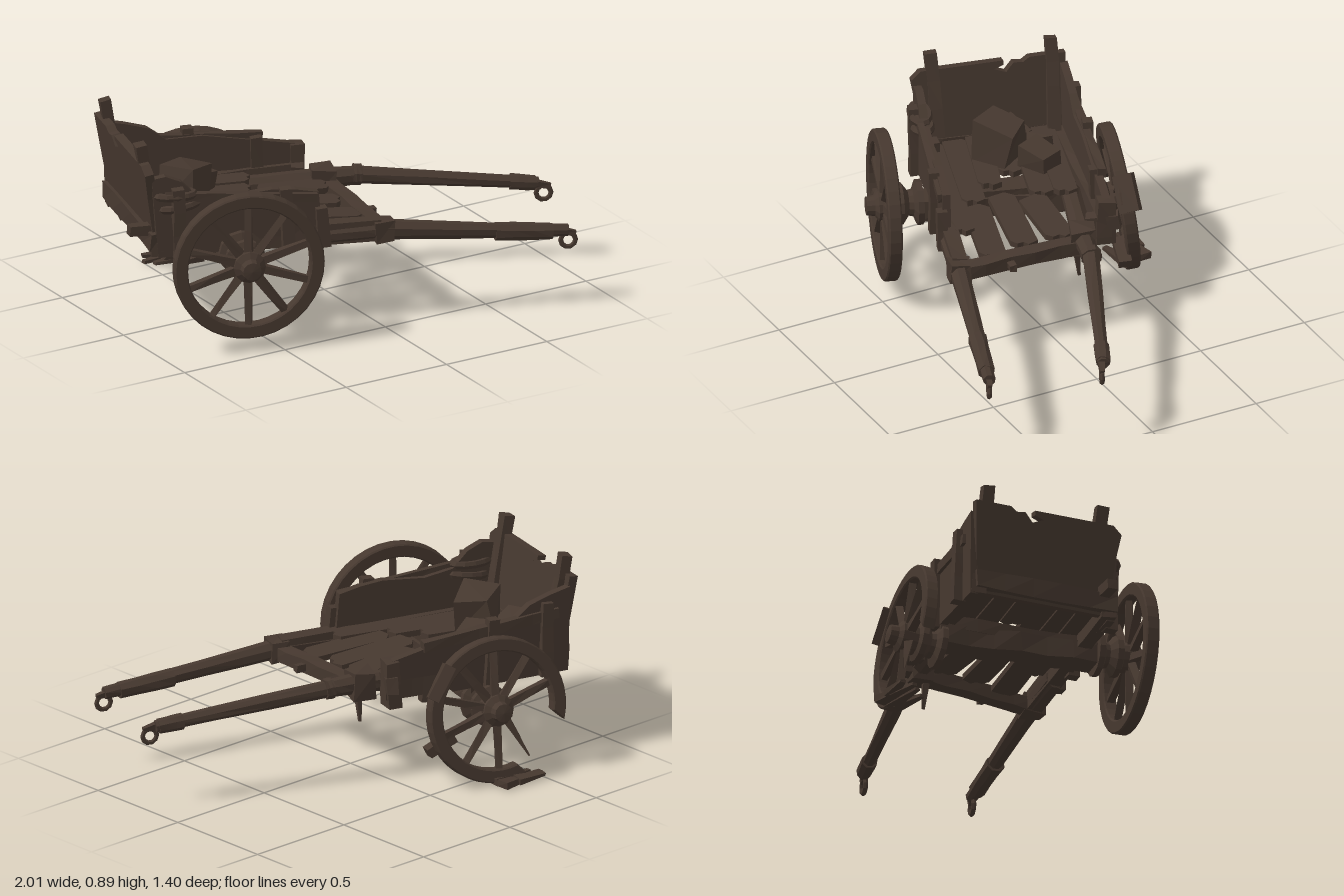
import * as THREE from 'three';

const V = (p) => new THREE.Vector3(...p);

export function createModel() {
  const root = new THREE.Group();
  root.name = 'brokenCart';
  const wood = new THREE.MeshStandardMaterial({ color: 0x46382f, flatShading: true, side: THREE.DoubleSide });
  wood.name = 'dark wood';

  const add = (name, geo, parent = root) => {
    const m = new THREE.Mesh(geo, wood);
    m.name = name;
    parent.add(m);
    return m;
  };

  // Worn edges: shift each vertex by a repeatable amount based on its position
  const wear = (geo, amount) => {
    const p = geo.attributes.position;
    const n = (x, y, z, k) => Math.sin(Math.round(x * 500) * 1.7 + Math.round(y * 500) * 2.9 + Math.round(z * 500) * 4.3 + k);
    for (let i = 0; i < p.count; i++) {
      const x = p.getX(i), y = p.getY(i), z = p.getZ(i);
      p.setXYZ(i, x + amount * n(x, y, z, 0), y + amount * n(x, y, z, 2), z + amount * n(x, y, z, 4));
    }
    geo.computeVertexNormals();
    return geo;
  };

  // Lay a geometry built along x between two points
  const lay = (geo, a, b) => {
    const A = V(a), B = V(b), x = B.clone().sub(A).normalize();
    const up = Math.abs(x.y) > 0.8 ? new THREE.Vector3(-0.95, 0, -0.32) : new THREE.Vector3(0, 1, 0);
    const z = new THREE.Vector3().crossVectors(x, up).normalize();
    const y = new THREE.Vector3().crossVectors(z, x);
    return geo.applyMatrix4(new THREE.Matrix4().makeBasis(x, y, z).setPosition(A.add(B).multiplyScalar(0.5)));
  };

  // Squared timber from a to b, w wide, h high, with end scale
  const beam = (name, a, b, w, h, end = 1, parent = root) => {
    const len = V(a).distanceTo(V(b));
    const geo = new THREE.BoxGeometry(len, h, w, Math.max(1, Math.round(len / 0.12)), 1, 1);
    const p = geo.attributes.position;
    for (let i = 0; i < p.count; i++) {
      const s = 1 + (end - 1) * (p.getX(i) / len + 0.5);
      p.setXYZ(i, p.getX(i), p.getY(i) * s, p.getZ(i) * s);
    }
    return add(name, lay(wear(geo, Math.min(w, h) * 0.06), a, b), parent);
  };

  // Rounded timber from a to b with a width at each end
  const pole = (name, a, b, wa, wb = wa) => {
    const geo = new THREE.CylinderGeometry(wb * 0.54, wa * 0.54, V(a).distanceTo(V(b)), 8, 3);
    geo.rotateY(Math.PI / 8);
    geo.rotateZ(-Math.PI / 2);
    return add(name, lay(wear(geo, 0.0015), a, b));
  };

  // Upright or lying board: outline in (u, v) along the line a-b and the direction up
  const board = (name, a, b, up, outline, t) => {
    const A = V(a), u = V(b).sub(A).normalize();
    const n = new THREE.Vector3().crossVectors(u, V(up)).normalize();
    const v = new THREE.Vector3().crossVectors(n, u);
    const geo = new THREE.ExtrudeGeometry(new THREE.Shape(outline.map((q) => new THREE.Vector2(...q))), { depth: t, bevelEnabled: false });
    geo.translate(0, 0, -t / 2);
    geo.applyMatrix4(new THREE.Matrix4().makeBasis(u, v, n).setPosition(A));
    return add(name, geo);
  };

  // Wheels: axle along local z, outward side given by out
  const wheel = (name, R, pos, yaw, tilt, out, a0, a1, skip) => {
    const g = new THREE.Group();
    g.name = name;
    const s = new THREE.Shape(), r = R - 0.059, rad = Math.PI / 180;
    if (a1 - a0 >= 360) {
      s.absarc(0, 0, R, 0, Math.PI * 2);
      s.holes.push(new THREE.Path().absarc(0, 0, r, 0, Math.PI * 2, true));
    } else {
      s.absarc(0, 0, R, a0 * rad, a1 * rad);
      s.absarc(0, 0, r, (a1 - 7) * rad, (a0 + 5) * rad, true);
    }
    const rim = new THREE.ExtrudeGeometry(s, { depth: 0.046, bevelSize: 0.006, bevelThickness: 0.006, bevelOffset: -0.006, bevelSegments: 1, curveSegments: 18 });
    rim.translate(0, 0, -0.023);
    add('rim', rim, g);
    for (let i = 0; i < 10; i++) {
      if (skip.includes(i)) continue;
      const a = (i * 36 + 18) * rad, c = Math.cos(a), n = Math.sin(a);
      beam('spoke', [c * 0.05, n * 0.05, 0], [c * (r + 0.007), n * (r + 0.007), 0], 0.036, 0.036, 0.8, g);
    }
    const hub = new THREE.LatheGeometry([[0, -0.16], [0.098, -0.16], [0.098, -0.135], [0.06, -0.12], [0.055, -0.1], [0.09, -0.075],
      [0.09, -0.05], [0.065, -0.04], [0.07, 0.03], [0.045, 0.045], [0.04, 0.08], [0, 0.085]].map((q) => new THREE.Vector2(...q)), 12);
    hub.rotateX(Math.PI / 2);
    if (out < 0) hub.rotateY(Math.PI);
    add('hub', hub, g);
    g.rotation.set(tilt, yaw, 0, 'YXZ');
    g.position.set(...pos);
    root.add(g);
    return g;
  };
  wheel('rightWheel', 0.327, [-0.633, 0.39, 0.42], -0.335, 0, 1, 0, 360, []);
  const broken = wheel('brokenWheel', 0.318, [-0.335, 0.32, -0.55], -0.31, 0.12, -1, -112, 196, [5, 6]);
  // Splintered spokes, rim clamp and loose bits on the broken wheel
  beam('splinteredSpoke', [-0.04, -0.04, 0], [-0.13, -0.22, -0.03], 0.035, 0.035, 0.15, broken);
  beam('rimClamp', [0.19, -0.1, 0.045], [0.31, -0.155, 0.045], 0.06, 0.05, 0.9, broken);
  beam('rimPatch', [0.21, 0.23, -0.01], [0.3, 0.09, -0.01], 0.085, 0.05, 1, broken);
  for (const [x, z, l, k] of [[-0.49, -0.685, 0.13, 0.03], [-0.51, -0.64, 0.23, -0.01], [-0.48, -0.6, 0.2, 0.01], [-0.42, -0.53, 0.14, -0.03]])
    beam('rimSplinter', [x + l, 0.018, z + k], [x, 0.01 + Math.abs(k) * 0.5, z], 0.06, 0.03, 0.4);

  // Axle
  beam('axle', [-0.58, 0.375, 0.28], [-0.38, 0.345, -0.42], 0.12, 0.09);
  beam('axleBolster', [-0.56, 0.41, 0.22], [-0.4, 0.4, -0.38], 0.1, 0.06);

  // Floor frame
  beam('rightSill', [-0.92, 0.43, 0.09], [0.03, 0.42, 0.41], 0.06, 0.09);
  beam('leftSill', [-0.78, 0.43, -0.5], [0.06, 0.44, -0.27], 0.06, 0.09);
  beam('rearSill', [-0.91, 0.45, 0.13], [-0.76, 0.45, -0.51], 0.06, 0.08);
  beam('rearPeg', [-0.8, 0.49, 0.09], [-1.0, 0.5, 0.045], 0.045, 0.045);

  // Floor planks with gaps: start, end, width
  const planks = [
    [[-0.86, 0.05], [-0.16, 0.29], 0.1], [[-0.86, -0.03], [-0.34, 0.14], 0.1], [[-0.84, -0.13], [-0.42, 0.02], 0.1],
    [[-0.82, -0.23], [-0.5, -0.12], 0.1], [[-0.8, -0.32], [-0.27, -0.15], 0.1], [[-0.77, -0.41], [-0.22, -0.24], 0.1],
    [[-0.34, 0.14], [0.04, 0.25], 0.115], [[-0.36, 0.01], [0.03, 0.09], 0.115], [[-0.27, -0.09], [0.06, -0.07], 0.125],
  ];
  planks.forEach(([a, b, w], i) => {
    const L = Math.hypot(b[0] - a[0], b[1] - a[1]), y = 0.455 + (i % 3) * 0.009, h = w / 2;
    board('floorPlank', [a[0], y, a[1]], [b[0], y - (i > 5 ? 0.03 : 0), b[1]], [0, 0, -1],
      [[0.02, -h], [L - 0.04, -h], [L - 0.015, -h * 0.6], [L - 0.02, -h * 0.1], [L, h * 0.2], [L - 0.02, h], [0.03, h], [0, h * 0.3]], 0.026);
  });

  // Tailboard, leaning back, with a broken top edge
  board('tailboard', [-0.885, 0.4, 0.12], [-0.735, 0.4, -0.52], [-0.16, 1, -0.03],
    [[0.02, 0], [0.63, 0], [0.65, 0.25], [0.66, 0.405], [0.5, 0.405], [0.47, 0.385], [0.43, 0.39], [0.395, 0.35], [0.345, 0.37], [0.385, 0.385], [0.385, 0.405], [0.02, 0.405], [-0.02, 0.37], [0, 0.25]], 0.04);
  beam('tailPost', [-0.865, 0.5, 0.04], [-0.94, 0.88, 0.035], 0.055, 0.05, 0.95);
  beam('tailPost', [-0.725, 0.46, -0.45], [-0.808, 0.88, -0.475], 0.055, 0.05, 0.95);

  // Side boards
  board('rightSideBoard', [-0.9, 0.38, 0.115], [-0.2, 0.38, 0.345], [0, 1, 0],
    [[0, 0], [0.72, 0.02], [0.7, 0.24], [0.6, 0.26], [0.5, 0.27], [0.3, 0.25], [0.17, 0.27], [0.1, 0.34], [0.03, 0.37], [-0.03, 0.36]], 0.035);
  board('leftSideBoard', [-0.77, 0.38, -0.52], [0.05, 0.38, -0.29], [0, 1, 0],
    [[0, 0], [0.55, 0], [0.6, 0.09], [0.85, 0.1], [0.86, 0.185], [0.6, 0.235], [0.42, 0.27], [0.26, 0.27], [0.18, 0.33], [0.08, 0.36], [-0.01, 0.38]], 0.035);
  beam('leftTopRail', [-0.72, 0.655, -0.52], [-0.1, 0.61, -0.345], 0.035, 0.045);
  beam('rightTopRail', [-0.88, 0.66, 0.14], [-0.25, 0.6, 0.35], 0.03, 0.04);
  for (const [x, z, y0, y1] of [[-0.82, 0.17, 0.38, 0.7], [-0.37, 0.315, 0.37, 0.66], [-0.22, 0.36, 0.37, 0.55],
    [-0.65, -0.515, 0.38, 0.71], [-0.4, -0.44, 0.37, 0.68], [-0.13, -0.33, 0.35, 0.62]])
    beam('sideStake', [x, y0, z], [x - 0.015, y1, z], 0.05, 0.055, 0.9);
  beam('leftEndStake', [0.03, 0.36, -0.29], [0.04, 0.57, -0.29], 0.08, 0.06);
  beam('leftEndBlock', [0.0, 0.45, -0.22], [0.07, 0.47, -0.34], 0.05, 0.07);

  // Shafts and cross bar
  const shaft = (name, pts) => {
    for (let i = 0; i + 1 < pts.length; i++) pole(name, pts[i][0], pts[i + 1][0], pts[i][1], pts[i + 1][1]);
  };
  shaft('rightShaft', [[[-0.25, 0.41, 0.32], 0.08], [[0.04, 0.415, 0.42], 0.08], [[0.52, 0.365, 0.585], 0.062], [[0.8, 0.34, 0.68], 0.05]]);
  shaft('leftShaft', [[[-0.3, 0.43, -0.3], 0.08], [[0.08, 0.44, -0.155], 0.085], [[0.24, 0.44, -0.11], 0.07], [[0.94, 0.365, 0.205], 0.05]]);
  pole('rightSleeve', [0.5, 0.362, 0.577], [0.735, 0.342, 0.658], 0.076, 0.066);
  pole('leftSleeve', [0.83, 0.375, 0.155], [0.93, 0.365, 0.2], 0.066, 0.06);
  beam('rightCollar', [0.0, 0.415, 0.405], [0.08, 0.415, 0.43], 0.09, 0.09);
  beam('leftCollar', [0.035, 0.435, -0.17], [0.13, 0.435, -0.135], 0.105, 0.12);
  pole('leftBand', [0.215, 0.443, -0.122], [0.25, 0.44, -0.108], 0.085);
  beam('crossBar', [0.035, 0.405, 0.42], [0.095, 0.42, -0.15], 0.065, 0.06);
  beam('hangingPeg', [0.075, 0.42, -0.125], [0.075, 0.255, -0.14], 0.035, 0.035, 0.35);
  beam('barPin', [0.05, 0.41, 0.19], [0.13, 0.41, 0.205], 0.03, 0.03);

  // Rings at the shaft ends
  for (const [x, y, z, tx] of [[0.8, 0.297, 0.682, 0.83], [0.958, 0.322, 0.222, 0.985]]) {
    const ring = add('shaftRing', new THREE.TorusGeometry(0.032, 0.011, 6, 10));
    ring.position.set(x, y, z);
    ring.rotation.y = -0.4;
    beam('shaftTip', [x - 0.03, y + 0.043, z - 0.012], [tx, y + 0.03, z + 0.012], 0.028, 0.028, 0.7);
  }

  // Load blocks and rope coil
  const load = [[-0.62, 0.575, -0.125, 0.18, 0.18, 0.16, 0.6], [-0.48, 0.525, -0.25, 0.11, 0.1, 0.11, 0.3],
    [-0.58, 0.52, -0.3, 0.1, 0.1, 0.11, -0.3], [-0.72, 0.51, -0.24, 0.11, 0.09, 0.12, 0.2]];
  for (const [x, y, z, w, h, d, a] of load) {
    const m = add('loadBlock', wear(new THREE.BoxGeometry(w, h, d), 0.014));
    m.position.set(x, y, z);
    m.rotation.set(0.08, a, -0.12);
  }
  for (let i = 0; i < 2; i++) {
    const coil = add('ropeCoil', new THREE.TorusGeometry(0.06, 0.018, 6, 12));
    coil.scale.set(1.3, 0.7, 1);
    coil.rotation.set(Math.PI / 2, 0.15 * i, 0.3);
    coil.position.set(-0.83 + i * 0.02, 0.66 - i * 0.05, 0.145);
  }
  return root;
}
